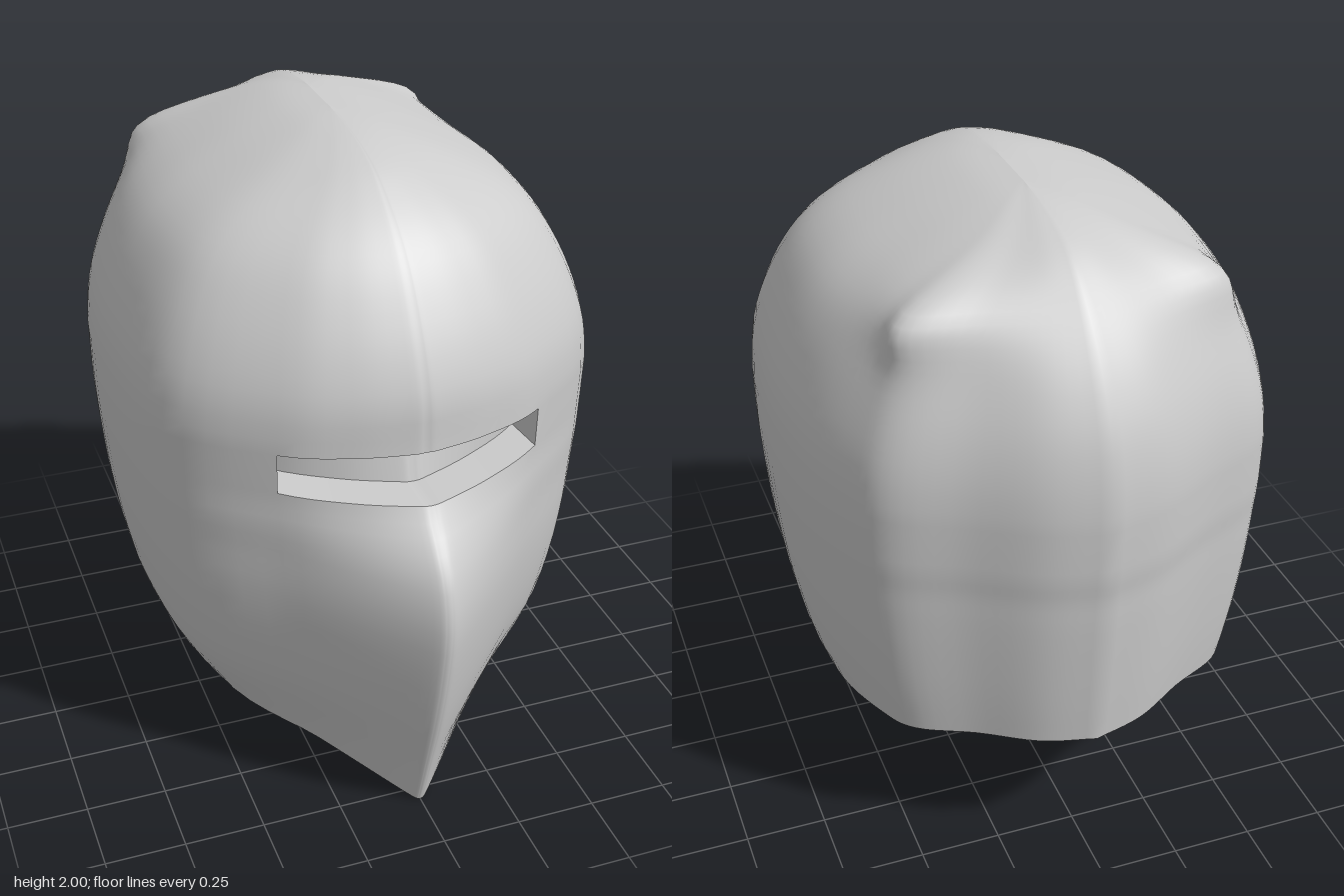
import * as THREE from 'three';

// Level sections, bottom to top: [y, half width, front z, back z, beak amount, centre z]
const SECTIONS = [
  [-0.1, 0.38, 0.765, -0.87, 1, -0.05], [0, 0.42, 0.8, -0.88, 1, -0.05],
  [0.2, 0.51, 0.86, -0.895, 1, -0.05], [0.4, 0.63, 0.92, -0.915, 1, -0.05],
  [0.6, 0.685, 0.965, -0.935, 1, -0.05], [0.78, 0.715, 0.985, -0.95, 1, -0.05],
  [0.92, 0.73, 0.955, -0.96, 0.9, -0.05], [1.02, 0.738, 0.885, -0.965, 0.6, -0.05],
  [1.11, 0.743, 0.815, -0.975, 0.3, -0.05], [1.26, 0.745, 0.77, -0.98, 0, -0.05],
  [1.4, 0.73, 0.76, -0.97, 0, -0.05], [1.53, 0.69, 0.715, -0.94, 0, -0.05],
  [1.65, 0.635, 0.65, -0.885, 0, -0.06], [1.75, 0.565, 0.58, -0.82, 0, -0.07],
  [1.83, 0.465, 0.5, -0.75, 0, -0.08], [1.9, 0.33, 0.4, -0.67, 0, -0.1],
  [1.95, 0.21, 0.3, -0.575, 0, -0.13], [1.985, 0.1, 0.15, -0.43, 0, -0.15],
  [2, 0, -0.05, -0.28, 0, -0.17],
];
const SLOT_LOW = 8, SLOT_HIGH = 9, TOP = SECTIONS.length - 1, CORNER = 14;

// Half outline from front to back: [x share, z share when rounded, z share when beaked, corner swell]
const OUTLINE = [
  [0, 1, 1, 0], [0.06, 0.998, 0.98, 0], [0.28, 0.955, 0.85, 0], [0.54, 0.85, 0.68, 0],
  [0.9, 0.56, 0.43, 0], [1, 0.06, 0.04, 0], [0.97, -0.33, -0.33, 0], [0.86, -0.6, -0.6, 0.12],
  [0.75, -0.73, -0.73, 0.3], [0.5, -0.83, -0.83, 0.16], [0.25, -0.945, -0.945, 0], [0, -1, -1, 0],
];
const STEPS = 5;
const HALF = (OUTLINE.length - 1) * STEPS;   // columns on one side
const SLOT_COLS = 3 * STEPS;                 // eye slot reaches this column

// Smooth interpolation of the section table
function sectionAt(s) {
  const i = Math.min(Math.floor(s), TOP - 1), t = s - i;
  const row = (k) => SECTIONS[THREE.MathUtils.clamp(k, 0, TOP)];
  return SECTIONS[0].map((_, n) => {
    const a = row(i - 1)[n], b = row(i)[n], c = row(i + 1)[n], d = row(i + 2)[n];
    return b + 0.5 * t * (c - a + t * (2 * a - 5 * b + 4 * c - d + t * (3 * (b - c) + d - a)));
  });
}

// Point on the helmet at column j (negative columns are the right side, with a softer rear corner)
function shellPoint(j, s) {
  const [y, w, f, b, beak, c] = sectionAt(s);
  const bump = Math.exp(-(((s - CORNER) / 1.3) ** 2)) * (j < 0 ? 0.75 : 1);
  const pts = OUTLINE.map(([px, round, pointed, swell]) => {
    const share = THREE.MathUtils.lerp(round, pointed, beak);
    const depth = share > 0 ? f - c : (c - b) * (1 + 0.35 * swell * bump);
    return new THREE.Vector3(px * w * (1 + swell * bump), y, c + depth * share);
  });
  const p = new THREE.CatmullRomCurve3(pts, false, 'catmullrom', 0.5).getPoint(Math.abs(j) / HALF);
  if (j < 0) p.x *= -1;
  return p;
}

// Height of the arched lower rim
function rimHeight(z) {
  const t = (0.8 - z) / 1.72;
  return 0.005 + 0.475 * (1 - Math.pow(Math.max(0, 1 - t), 2));
}

// Find where a column meets the rim
function rimLevel(j) {
  let lo = 0, hi = 6;
  for (let n = 0; n < 18; n++) {
    const mid = (lo + hi) / 2, p = shellPoint(j, mid);
    if (p.y < rimHeight(p.z)) lo = mid; else hi = mid;
  }
  return (lo + hi) / 2;
}

// Surface through rows of points; skip(row, column) leaves openings
function gridGeometry(rows, closed, skip = () => false) {
  const n = rows[0].length, index = [];
  for (let r = 0; r < rows.length - 1; r++) {
    for (let k = 0; k < (closed ? n : n - 1); k++) {
      if (skip(r, k)) continue;
      const a = r * n + k, b = r * n + ((k + 1) % n);
      index.push(a, b, b + n, a, b + n, a + n);
    }
  }
  const geo = new THREE.BufferGeometry().setFromPoints(rows.flat());
  geo.setIndex(index);
  geo.computeVertexNormals();
  return geo;
}

export function createModel() {
  const helmet = new THREE.Group();
  helmet.name = 'helmet';
  const steel = new THREE.MeshStandardMaterial({ color: 0xcccccc, side: THREE.DoubleSide });
  steel.name = 'grey steel';
  const add = (name, geo) => {
    const mesh = new THREE.Mesh(geo, steel);
    mesh.name = name;
    helmet.add(mesh);
  };

  // Shell: rim to slot, slot band, slot to crown
  const columns = Array.from({ length: 2 * HALF }, (_, k) => k - HALF);
  const slotLow = (j) => SLOT_LOW + 0.17 * Math.min(1, (j / SLOT_COLS) ** 2);
  const LOWER = 16, UPPER = 27;
  const levels = columns.map((j) => {
    const start = rimLevel(j), low = slotLow(j), list = [];
    for (let r = 0; r <= LOWER; r++) list.push(THREE.MathUtils.lerp(start, low, r / LOWER));
    for (let r = 0; r <= UPPER; r++) list.push(THREE.MathUtils.lerp(SLOT_HIGH, TOP, r / UPPER));
    return list;
  });
  const rows = levels[0].map((_, r) => columns.map((j, k) => shellPoint(j, levels[k][r])));
  const inSlot = (r, k) => r === LOWER && columns[k] >= -SLOT_COLS && columns[k] < SLOT_COLS;
  add('helmetShell', gridGeometry(rows, true, inSlot));

  // Eye slot: sill, back wall, lintel and two end walls
  const cut = (row) => row.slice(HALF - SLOT_COLS, HALF + SLOT_COLS + 1);
  const inward = (p) => new THREE.Vector3(p.x * 0.97, p.y, p.z - 0.14);
  const sill = cut(rows[LOWER]), lintel = cut(rows[LOWER + 1]);
  const sillBack = sill.map(inward), lintelBack = lintel.map(inward);
  add('eyeSlotSill', gridGeometry([sill, sillBack], false));
  add('eyeSlotBack', gridGeometry([sillBack, lintelBack], false));
  add('eyeSlotLintel', gridGeometry([lintelBack, lintel], false));
  const end = sill.length - 1;
  add('eyeSlotLeftEnd', gridGeometry([[sillBack[end], sill[end]], [lintelBack[end], lintel[end]]], false));
  add('eyeSlotRightEnd', gridGeometry([[sill[0], sillBack[0]], [lintel[0], lintelBack[0]]], false));

  // Underside folding in to the open, slightly tilted neck hole
  const neck = { x: 0.3, y: 0.44, z: -0.24, depth: 0.33, tilt: 0.2 };
  const lip = rows[0].map((p) => {
    const a = Math.atan2(p.x, p.z - neck.z), dz = Math.cos(a) * neck.depth;
    return new THREE.Vector3(Math.sin(a) * neck.x, neck.y - neck.tilt * dz, neck.z + dz);
  });
  const between = [0.33, 0.67].map((t) => lip.map((p, k) => p.clone().lerp(rows[0][k], t)));
  add('underside', gridGeometry([lip, ...between, rows[0]], true));

  return helmet;
}
